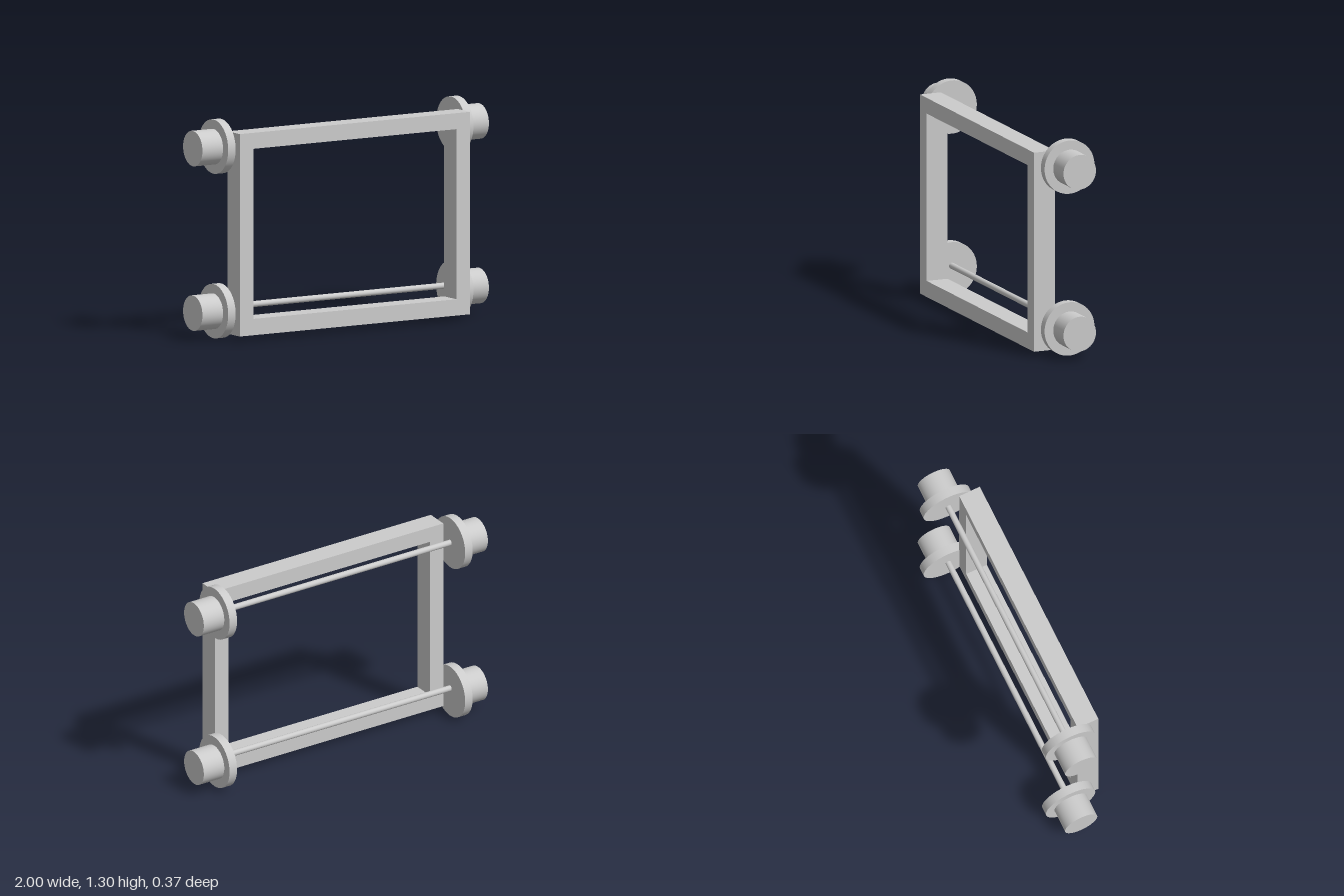
import * as THREE from 'three';

const material = new THREE.MeshStandardMaterial({ color: 0xcccccc });
const AXLE_Z = -0.0225;

// Cylinder lying along x, from x0 to x1
function barX(name, radius, x0, x1, y, segments) {
  const geometry = new THREE.CylinderGeometry(radius, radius, x1 - x0, segments);
  geometry.rotateZ(Math.PI / 2);
  const mesh = new THREE.Mesh(geometry, material);
  mesh.name = name;
  mesh.position.set((x0 + x1) / 2, y, AXLE_Z);
  return mesh;
}

function rectangle(path, x, y0, y1) {
  path.moveTo(-x, y0);
  path.lineTo(x, y0);
  path.lineTo(x, y1);
  path.lineTo(-x, y1);
  path.closePath();
  return path;
}

export function createModel() {
  const group = new THREE.Group();
  group.name = 'rollerFrame';

  // Rectangular frame with an open middle
  const outline = rectangle(new THREE.Shape(), 0.804, 0.034, 1.236);
  outline.holes.push(rectangle(new THREE.Path(), 0.709, 0.131, 1.141));
  const frame = new THREE.Mesh(
    new THREE.ExtrudeGeometry(outline, { depth: 0.134, bevelEnabled: false }), material);
  frame.name = 'frame';
  frame.position.z = 0.049;
  group.add(frame);

  // Two axles, each with a flange and a hub at both ends
  const axles = [
    { name: 'lower', y: 0.163, rodY: 0.182 },
    { name: 'upper', y: 1.14, rodY: 1.14 },
  ];
  for (const { name, y, rodY } of axles) {
    group.add(barX(name + 'Rod', 0.018, -0.804, 0.804, rodY, 32));
    for (const [side, s] of [['Left', 1], ['Right', -1]]) {
      const wheel = new THREE.Group();
      wheel.name = name + side + 'Wheel';
      const flange = barX('flange', 0.161, 0.803, 0.856, y, 64);
      const hub = barX('hub', 0.105, 0.856, 1, y, 64);
      for (const part of [flange, hub]) part.position.x *= s;
      wheel.add(flange, hub);
      group.add(wheel);
    }
  }
  return group;
}
